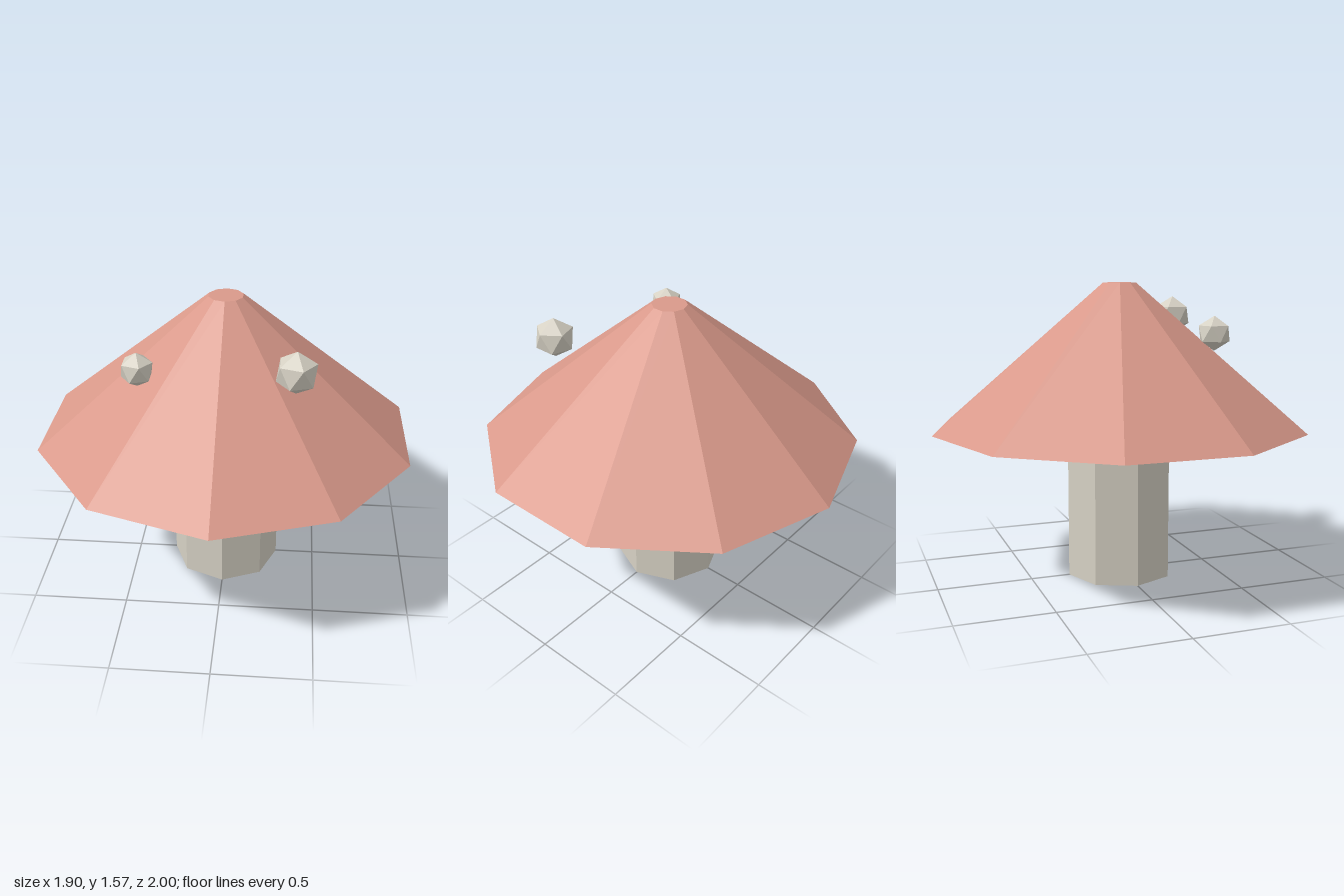
import * as THREE from 'three';

export function createModel() {
  const group = new THREE.Group();
  const pale = new THREE.MeshStandardMaterial({ color: 0xd6d1c4, flatShading: true });
  pale.name = 'pale stone';
  const salmon = new THREE.MeshStandardMaterial({ color: 0xd9998a, flatShading: true });
  salmon.name = 'salmon cap';

  function add(name, geometry, material, x, y, z) {
    const mesh = new THREE.Mesh(geometry, material);
    mesh.name = name;
    mesh.position.set(x, y, z);
    group.add(mesh);
    return mesh;
  }

  // Eight-sided stem, reaching the underside of the cap
  add('stem', new THREE.CylinderGeometry(0.29, 0.29, 0.82, 8), pale, 0, 0.41, 0);

  // Ten-sided truncated cone cap
  add('cap', new THREE.CylinderGeometry(0.09, 1, 0.76, 10), salmon, 0, 1.19, 0);

  // Faceted spots on the front slope, each with one corner pointing straight up
  const tilt = -Math.atan(2 / (1 + Math.sqrt(5)));
  const spots = [
    ['leftSpot', 0.107, 0.362, 1.378, 0.453],
    ['rightSpot', 0.0875, -0.4, 1.322, 0.362],
  ];
  for (const [name, radius, x, y, z] of spots) {
    const geometry = new THREE.IcosahedronGeometry(radius, 0).rotateZ(tilt);
    add(name, geometry, pale, x, y, z);
  }

  return group;
}
